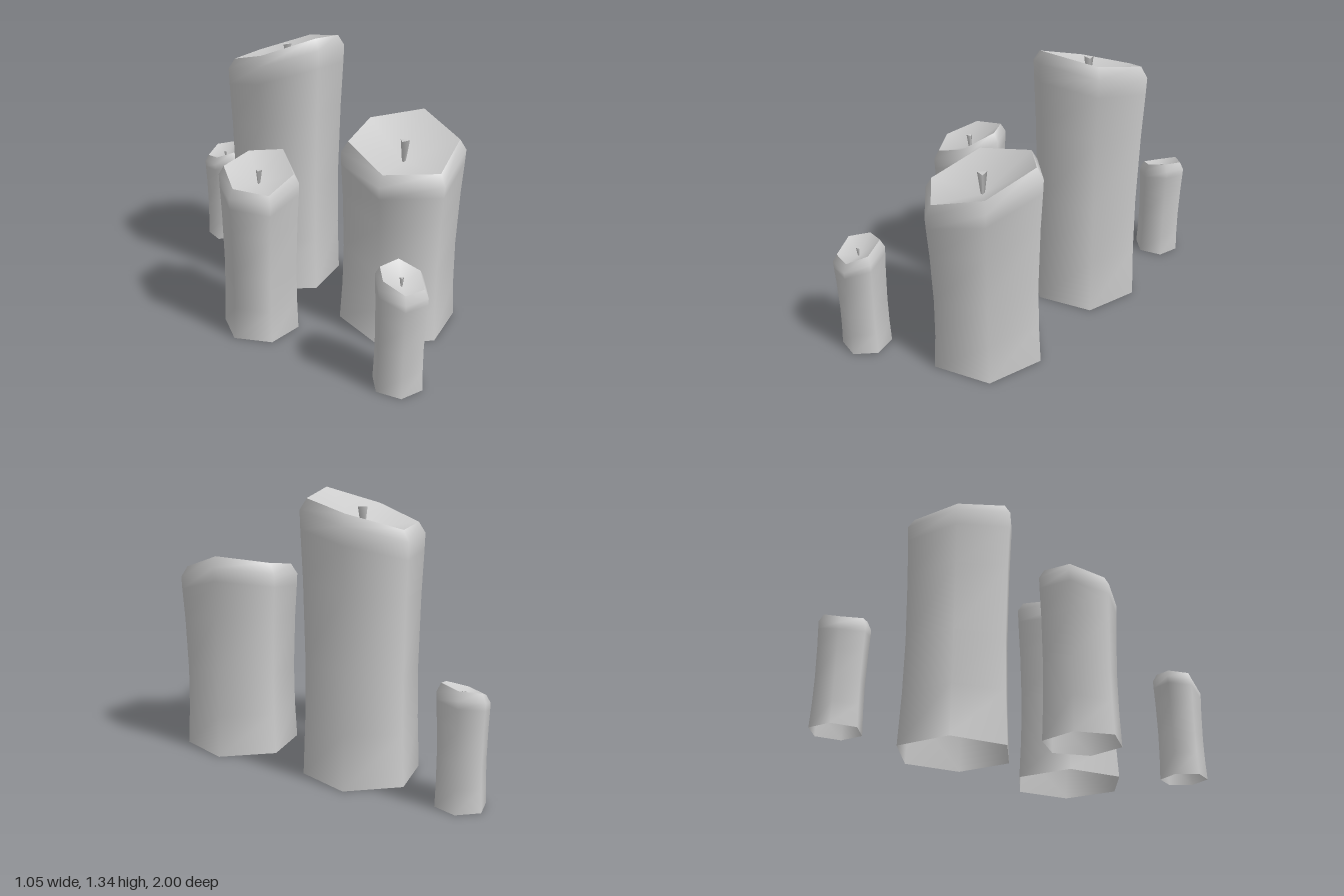
import * as THREE from 'three';

const material = new THREE.MeshStandardMaterial({ color: 0xcccccc, side: THREE.DoubleSide });
const SIDES = 6;

// Wax wall rings: fraction of the shoulder height, fraction of the radius
const WALL = [[0, 0.97], [0.22, 0.935], [0.45, 0.925], [0.75, 0.955], [0.93, 0.99], [1, 1]];

// x, z, radius, angle of the first corner, melted rim height at each corner, dish height, wick angle
const CANDLES = [
  { name: 'tallCandle', x: 0.08, z: -0.295, r: 0.293, turn: 30, rim: [1.305, 1.34, 1.26, 1.19, 1.18, 1.255], dish: 1.16, wick: 180 },
  { name: 'wideCandle', x: 0.265, z: 0.435, r: 0.295, turn: 30, rim: [0.93, 0.85, 0.85, 0.93, 0.97, 1.01], dish: 0.825, wick: 180 },
  { name: 'mediumCandle', x: -0.342, z: 0.13, r: 0.192, turn: -15, rim: [0.87, 0.805, 0.75, 0.77, 0.82, 0.85], dish: 0.745, wick: 195 },
  { name: 'smallFrontCandle', x: -0.098, z: 0.892, r: 0.122, turn: 0, rim: [0.53, 0.495, 0.495, 0.54, 0.555, 0.565], dish: 0.485, wick: 90 },
  { name: 'smallBackCandle', x: 0.026, z: -0.878, r: 0.122, turn: 30, rim: [0.56, 0.54, 0.51, 0.495, 0.53, 0.545], dish: 0.475, wick: 0 },
];

function indexed(positions, indices) {
  const geometry = new THREE.BufferGeometry();
  geometry.setAttribute('position', new THREE.Float32BufferAttribute(positions, 3));
  geometry.setIndex(indices);
  geometry.computeVertexNormals();
  return geometry;
}

// A corner of a horizontal ring
function corner(c, i, radius, y) {
  const a = THREE.MathUtils.degToRad(c.turn) + (i / SIDES) * Math.PI * 2;
  return [Math.cos(a) * radius, y, Math.sin(a) * radius];
}

function rimRadius(c) {
  return c.r - 0.012 - c.r * 0.07;
}

// Waisted wax wall, open below, ending in a bevel up to the uneven rim
function waxGeometry(c) {
  const bevel = 0.028 + c.r * 0.08;
  const positions = [], indices = [];
  for (const [t, s] of WALL) {
    for (let i = 0; i < SIDES; i++) positions.push(...corner(c, i, c.r * s, t * (c.rim[i] - bevel)));
  }
  for (let i = 0; i < SIDES; i++) positions.push(...corner(c, i, rimRadius(c), c.rim[i]));
  for (let ring = 0; ring < WALL.length; ring++) {
    for (let i = 0; i < SIDES; i++) {
      const a = ring * SIDES + i, b = ring * SIDES + (i + 1) % SIDES;
      indices.push(a, a + SIDES, b, b, a + SIDES, b + SIDES);
    }
  }
  return indexed(positions, indices);
}

// Sunken melted top, running from the rim down to the wick
function dishGeometry(c) {
  const positions = [0, c.dish, 0], indices = [];
  for (let i = 0; i < SIDES; i++) {
    positions.push(...corner(c, i, rimRadius(c), c.rim[i]));
    indices.push(0, 1 + (i + 1) % SIDES, 1 + i);
  }
  return indexed(positions, indices);
}

function addMesh(group, name, geometry) {
  const mesh = new THREE.Mesh(geometry, material);
  mesh.name = name;
  group.add(mesh);
  return mesh;
}

function makeCandle(c) {
  const candle = new THREE.Group();
  candle.name = c.name;
  candle.position.set(c.x, 0, c.z);
  addMesh(candle, 'waxBody', waxGeometry(c));
  addMesh(candle, 'meltedTop', dishGeometry(c));

  // Three-sided wick, wider at its tip
  const height = c.r * 0.37;
  const wickGeometry = new THREE.CylinderGeometry(c.r * 0.09, c.r * 0.035, height, 3);
  const wick = addMesh(candle, 'wick', wickGeometry);
  wick.position.y = c.dish + height / 2 - 0.004;
  wick.rotation.y = THREE.MathUtils.degToRad(c.wick);
  return candle;
}

export function createModel() {
  const model = new THREE.Group();
  model.name = 'candleCluster';
  for (const c of CANDLES) model.add(makeCandle(c));
  return model;
}
